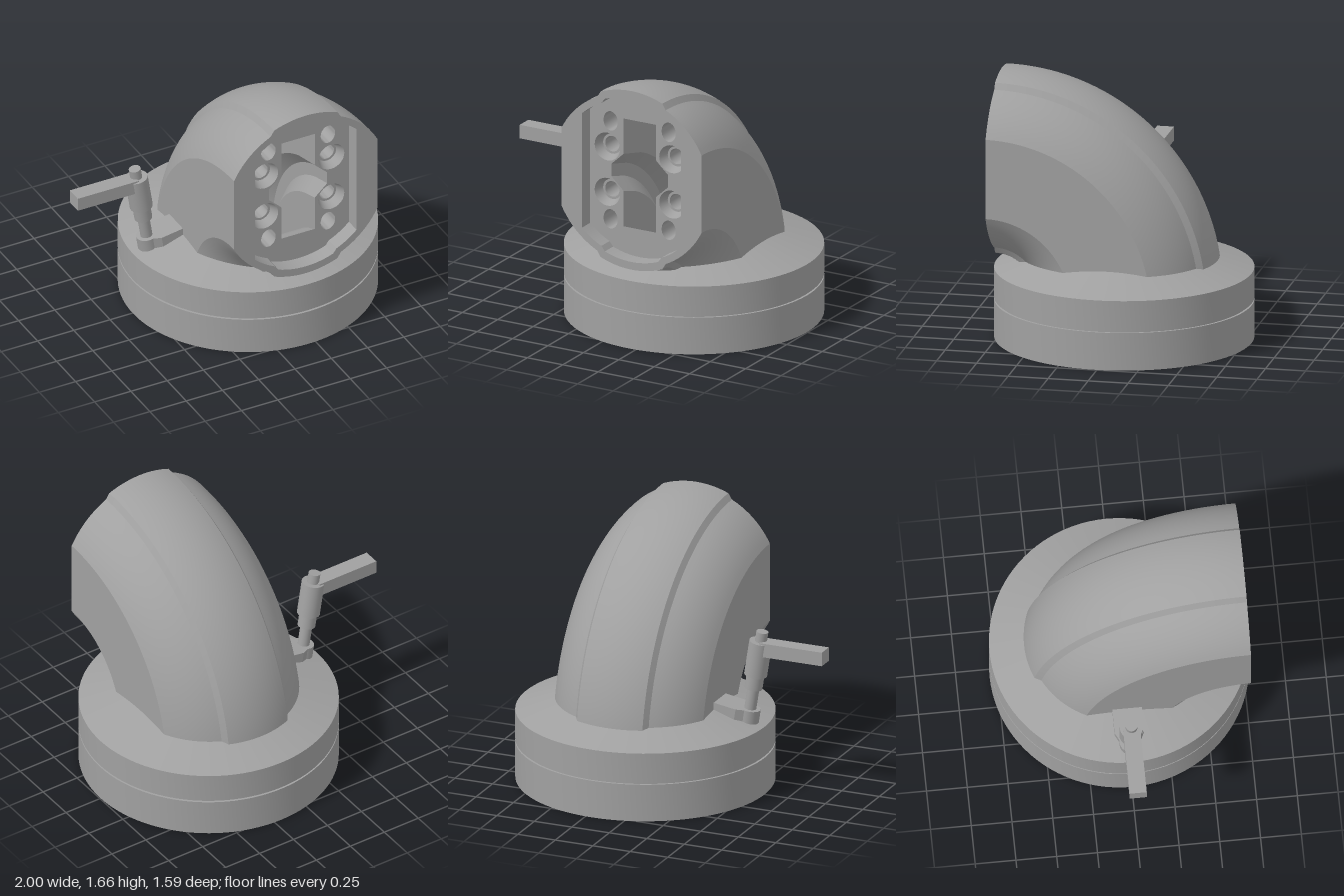
import * as THREE from 'three';
import { toCreasedNormals } from 'three/addons/utils/BufferGeometryUtils.js';

const CX = 0.2, PIVOT_Y = 0.3, FACE_Z = 0.76, BEND = 0.78, BASE_R = 0.795;
const V = (x, y) => new THREE.Vector2(x, y);

function arc(r, a, b, n) {
  return Array.from({ length: n + 1 }, (_, i) => {
    const t = a + (b - a) * i / n;
    return V(r * Math.cos(t), r * Math.sin(t));
  });
}
// Adds the half-turn copy of half an outline
const whole = half => [...half, ...half.map(p => V(-p.x, -p.y))];

// Round section with flat sides and a raised ridge above and below
function section(r, flat, ridgeR, ridgeHalf) {
  const a0 = Math.acos(flat / r), a1 = Math.acos((ridgeHalf + 0.012) / r);
  const a2 = Math.acos((ridgeHalf - 0.012) / ridgeR);
  return whole([
    ...arc(r, a0, a1, 10),
    ...arc(ridgeR, a2, Math.PI - a2, 14),
    ...arc(r, Math.PI - a1, Math.PI - a0, 10),
  ]);
}
// Long slot with a wider middle
const slot = bulge => whole([V(0.115, -0.35), ...bulge, V(0.115, 0.35)]);

// Frame on the elbow path: angle round the pivot plus a straight shift along the path
const frame = (t, shift = 0) => ({
  y: PIVOT_Y + BEND * Math.cos(t) - shift * Math.sin(t),
  z: FACE_Z - BEND * Math.sin(t) - shift * Math.cos(t),
  ny: Math.cos(t), nz: -Math.sin(t),
});
const bend = (a, b, n) => Array.from({ length: n + 1 }, (_, i) => frame(a + (b - a) * i / n));

// Sweeps a closed outline through frames
function sweep(outline, frames, inward = false) {
  const pts = inward ? [...outline].reverse() : outline;
  const n = pts.length, pos = [], idx = [];
  frames.forEach((f, i) => pts.forEach((p, j) => {
    pos.push(CX + p.x, f.y + p.y * f.ny, f.z + p.y * f.nz);
    if (i === frames.length - 1) return;
    const a = i * n + j, b = i * n + (j + 1) % n;
    idx.push(a, a + n, b, b, a + n, b + n);
  }));
  const g = new THREE.BufferGeometry();
  g.setAttribute('position', new THREE.Float32BufferAttribute(pos, 3));
  g.setIndex(idx);
  return toCreasedNormals(g, 0.45);
}

function shapeWith(outline, holes) {
  const s = new THREE.Shape(outline);
  holes.forEach(h => s.holes.push(new THREE.Path(h)));
  return s;
}
const circle = (r, x = 0, y = 0, sy = 1, n = 32) =>
  arc(r, 0, 2 * Math.PI, n).slice(0, -1).map(p => V(p.x + x, p.y * sy + y));

export function createModel() {
  const model = new THREE.Group();
  const grey = new THREE.MeshStandardMaterial({ color: 0xa0a0a0 });
  const add = (name, geo, parent = model) => {
    const m = new THREE.Mesh(geo, grey);
    m.name = name;
    parent.add(m);
    return m;
  };
  const lathe = (pts, n) =>
    toCreasedNormals(new THREE.LatheGeometry(pts.map(p => V(...p)), n), 0.45);

  const bodyLine = section(0.555, 0.495, 0.58, 0.23);
  const recessLine = section(0.51, 0.35, 0.53, 0.2);
  const channelLine = slot([V(0.115, -0.12), V(0.135, -0.1), V(0.2, -0.04),
    V(0.2, 0.04), V(0.135, 0.1), V(0.115, 0.12)]);
  const ca = Math.acos(0.115 / 0.2);
  const baseSlot = slot(arc(0.2, -ca, ca, 16)).map(p => V(p.x, p.y + 0.02));

  // Base: lower disc with slot and bolt holes, groove, collar and sloping top
  const disc = (r, y, h, holes) => {
    const g = new THREE.ExtrudeGeometry(shapeWith(circle(r, 0, 0, 1, 96), holes),
      { depth: h, bevelEnabled: false });
    g.rotateX(-Math.PI / 2);
    g.translate(CX, y, 0);
    return toCreasedNormals(g, 0.45);
  };
  const bolts = [];
  for (const sx of [-1, 1]) for (const sz of [-1, 1])
    bolts.push(circle(0.028, sx * 0.355, sz * 0.355, 1, 16));
  add('lowerBase', disc(BASE_R, 0, 0.238, [baseSlot, ...bolts]));
  add('baseGroove', disc(BASE_R - 0.015, 0.238, 0.014, [channelLine.map(p => V(p.x, p.y + 0.02))]));
  add('baseCollar', lathe([[0.76, 0.25], [BASE_R, 0.25], [BASE_R, 0.44]], 96)).position.x = CX;
  add('baseSlope', lathe([[BASE_R, 0.44], [0.42, 0.565]], 96)).position.x = CX;

  // Elbow shell, front rim and recess
  add('elbow', sweep(bodyLine, bend(0, Math.PI / 2, 48)));
  const midY = PIVOT_Y + BEND, floorZ = FACE_Z - 0.1;
  add('frontRim', new THREE.ShapeGeometry(shapeWith(bodyLine, [recessLine])))
    .position.set(CX, midY, FACE_Z);
  add('recessWall', sweep(recessLine, [frame(0), frame(0, 0.1)], true));

  // Recess floor with counterbored and plain holes
  const holes = [channelLine];
  const sockets = new THREE.Group();
  sockets.name = 'sockets';
  model.add(sockets);
  const boreProfile = [[0.09, 0], [0.065, -0.06], [0.05, -0.06], [0.05, -0.2], [0, -0.2]];
  const plainProfile = [[0.05, 0], [0.05, -0.2], [0, -0.2]];
  for (const sx of [-1, 1]) for (const sy of [-1, 1]) {
    for (const [name, x, y, r, stretch, profile] of [
      ['counterbore', 0.228, 0.147, 0.09, 1, boreProfile],
      ['plainHole', 0.205, 0.318, 0.05, 1.25, plainProfile],
    ]) {
      holes.push(circle(r, sx * x, sy * y, stretch));
      const g = lathe(profile, 32);
      g.rotateX(Math.PI / 2);
      g.scale(1, stretch, 1);
      add(name, g, sockets).position.set(CX + sx * x, midY + sy * y, floorZ);
    }
  }
  add('recessFloor', new THREE.ShapeGeometry(shapeWith(recessLine, holes)))
    .position.set(CX, midY, floorZ);

  // Passage through the elbow down to the base
  add('channel', sweep(channelLine,
    [frame(0, 0.1), ...bend(0.35, Math.PI / 2, 28), frame(Math.PI / 2, 0.06)], true));

  // Tilted lever post on its bracket
  const post = new THREE.Group();
  post.name = 'leverPost';
  post.position.set(-0.5, 0.55, 0);
  post.rotation.z = 0.157;
  model.add(post);
  const foot = new THREE.Shape([V(0.3, -0.09), V(0.3, 0.09), V(0.06, 0.09),
    ...arc(0.065, Math.PI / 2 - 0.2, Math.PI * 1.5 + 0.2, 16), V(0.06, -0.09)]);
  const footGeo = new THREE.ExtrudeGeometry(foot, { depth: 0.13, bevelEnabled: false });
  footGeo.rotateX(-Math.PI / 2);
  footGeo.translate(0, -0.13, 0);
  add('bracket', toCreasedNormals(footGeo, 0.45), post);
  for (const [name, r, y0, y1] of [
    ['rod', 0.037, -0.02, 0.515],
    ['rodCollar', 0.055, 0.135, 0.23],
    ['sleeve', 0.071, 0.225, 0.45],
  ]) add(name, new THREE.CylinderGeometry(r, r, y1 - y0, 32), post).position.y = (y0 + y1) / 2;

  // Lever bar
  add('leverBar', new THREE.BoxGeometry(0.42, 0.088, 0.105)).position.set(-0.79, 0.956, 0);

  return model;
}
